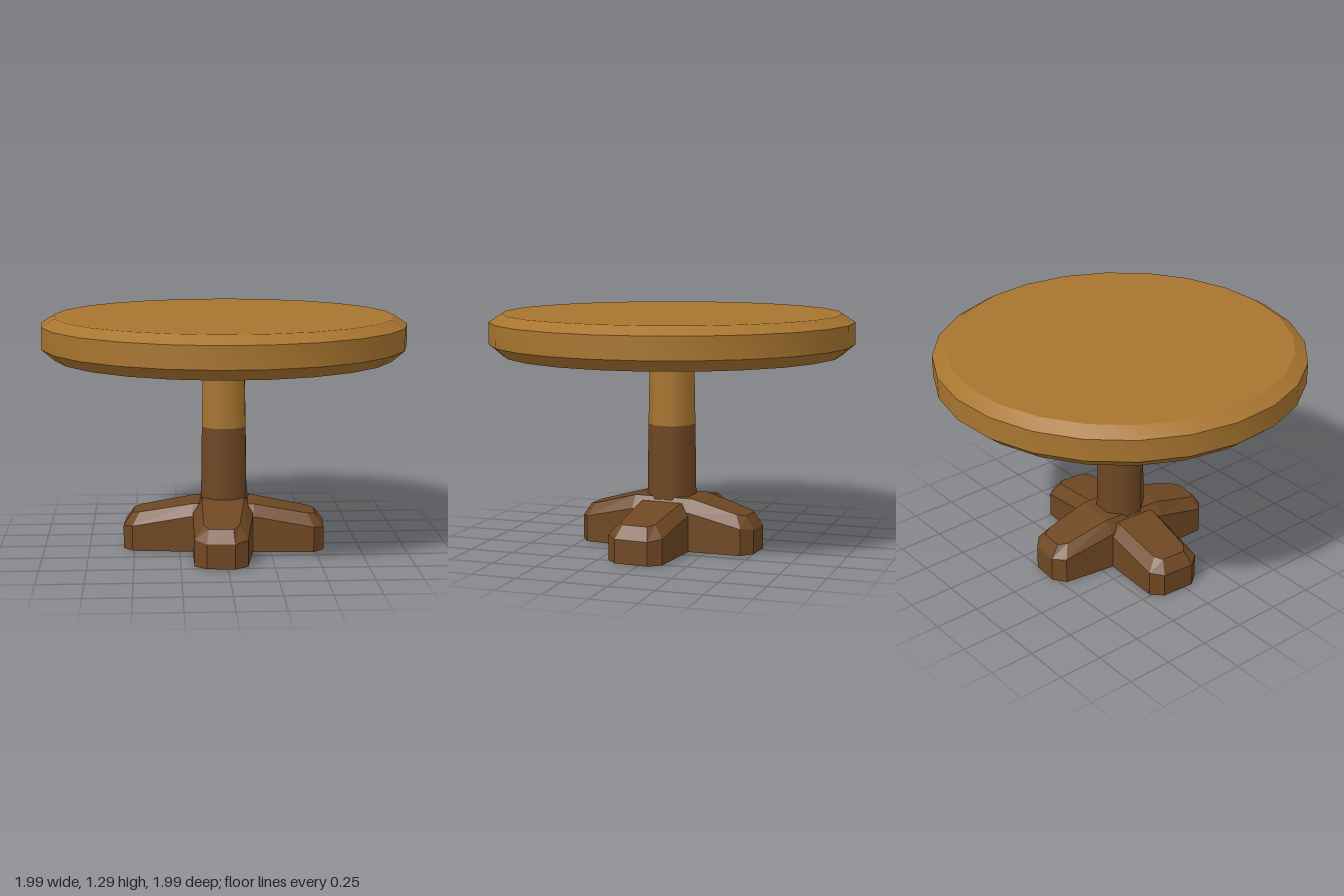
import * as THREE from 'three';
import { toCreasedNormals } from 'three/addons/utils/BufferGeometryUtils.js';

const TWIST = -0.075; // the whole table is turned slightly about its axis

// A bar carrying two opposite feet: bevelled cross-sections joined along x, open underneath.
// Half stations from tip inward: wall x, wall half width, wall height, top x, top half width, top height.
function footBar(half) {
  const stations = [
    ...half.map(([x, w, h, tx, tw, th]) => [-x, w, h, -tx, tw, th]),
    ...half.slice().reverse(),
  ];
  const rings = stations.map(([x, w, h, tx, tw, th]) => [
    [x, 0, w], [x, h, w], [tx, th, tw], [tx, th, -tw], [x, h, -w], [x, 0, -w],
  ]);
  const pos = [];
  const quad = (a, b, c, d) => pos.push(...a, ...b, ...c, ...a, ...c, ...d);
  for (let i = 0; i < rings.length - 1; i++) {
    for (let j = 0; j < 5; j++) quad(rings[i][j], rings[i + 1][j], rings[i + 1][j + 1], rings[i][j + 1]);
  }
  // tips: upright end wall and sloping bevel
  const p = rings[rings.length - 1], q = rings[0];
  quad(p[0], p[5], p[4], p[1]);
  quad(p[1], p[4], p[3], p[2]);
  quad(q[5], q[0], q[1], q[4]);
  quad(q[4], q[1], q[2], q[3]);
  const geo = new THREE.BufferGeometry();
  geo.setAttribute('position', new THREE.Float32BufferAttribute(pos, 3));
  geo.computeVertexNormals();
  return geo;
}

export function createModel() {
  const lightWood = new THREE.MeshStandardMaterial({ color: 0xa8752f });
  lightWood.name = 'lightWood';
  const darkWood = new THREE.MeshStandardMaterial({ color: 0x6f4723, side: THREE.DoubleSide });
  darkWood.name = 'darkWood';

  const table = new THREE.Group();
  table.name = 'roundTable';
  const add = (name, geo, mat, turn = 0) => {
    const mesh = new THREE.Mesh(geo, mat);
    mesh.name = name;
    mesh.rotation.y = TWIST + turn;
    table.add(mesh);
    return mesh;
  };

  // round top with bevelled rims
  const profile = [[0, 1.07], [0.93, 1.07], [1, 1.13], [1, 1.25], [0.93, 1.295], [0, 1.295]];
  const top = new THREE.LatheGeometry(profile.map(([r, y]) => new THREE.Vector2(r, y)), 24);
  add('tableTop', toCreasedNormals(top, 0.45), lightWood);

  // column in two colours, tapering upward
  const column = (r1, r0, y1, y0) =>
    new THREE.CylinderGeometry(r1, r0, y1 - y0, 8, 1, true, Math.PI / 8).translate(0, (y0 + y1) / 2, 0);
  add('upperColumn', column(0.122, 0.13, 1.07, 0.68), lightWood);
  add('lowerColumn', column(0.13, 0.139, 0.68, 0.06), darkWood);

  // crossed feet
  add('sideFeet', footBar([
    [0.555, 0.094, 0.13, 0.505, 0.07, 0.2],
    [0.5, 0.155, 0.14, 0.465, 0.1, 0.207],
    [0.17, 0.165, 0.2, 0.17, 0.115, 0.26],
  ]), darkWood);
  add('frontAndBackFeet', footBar([
    [0.513, 0.075, 0.135, 0.465, 0.065, 0.205],
    [0.46, 0.143, 0.145, 0.42, 0.095, 0.215],
    [0.17, 0.165, 0.215, 0.17, 0.115, 0.285],
  ]), darkWood, Math.PI / 2);

  return table;
}
